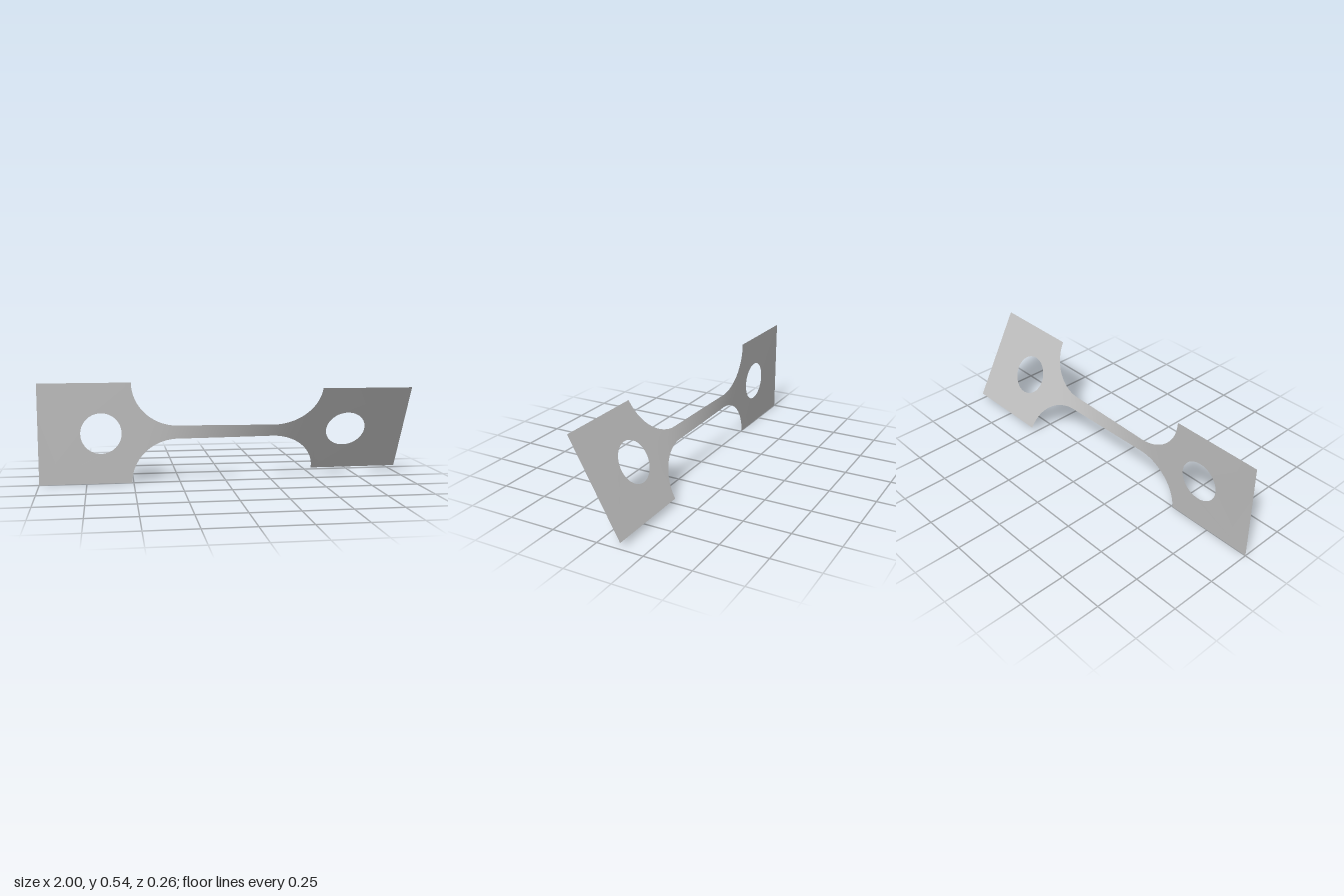
import * as THREE from 'three';

const MID = 0.271;        // height of the long axis
const HALF = 0.271;       // half height of the grips
const NECK = 0.036;       // half height of the gauge section
const GRIP_X = 0.508;     // inner edge of the grips
const FILLET_X = 0.26;    // where the fillets meet the gauge section
const TWIST = 0.5;        // total twist in radians

// Half height of the strip at x: straight neck, circular fillets, wide grips
function halfHeight(x) {
  const t = (Math.abs(x) - FILLET_X) / (GRIP_X - FILLET_X);
  if (t <= 0) return NECK;
  if (t >= 1) return HALF;
  return NECK + (HALF - NECK) * (1 - Math.sqrt(1 - t * t));
}

// Twist builds up fastest where the strip is narrowest
const STEPS = 800;
const twistSum = [0];
for (let i = 0; i < STEPS; i++) {
  const x = -1 + (2 * (i + 0.5)) / STEPS;
  twistSum.push(twistSum[i] + 1 / halfHeight(x) ** 2);
}
function twistAt(x) {
  const f = THREE.MathUtils.clamp((x + 1) / 2, 0, 1) * STEPS;
  const i = Math.min(Math.floor(f), STEPS - 1);
  return TWIST * THREE.MathUtils.lerp(twistSum[i], twistSum[i + 1], f - i) / twistSum[STEPS];
}

// Turn a flat sheet (y measured from the axis) about the long axis
function twistSheet(geometry) {
  const p = geometry.attributes.position;
  for (let i = 0; i < p.count; i++) {
    const a = twistAt(p.getX(i));
    const h = p.getY(i);
    p.setXYZ(i, p.getX(i), MID + h * Math.cos(a), h * Math.sin(a));
  }
  geometry.computeVertexNormals();
  return geometry;
}

// Grip plate with a round hole
function gripGeometry(side) {
  const x0 = side < 0 ? -1 : GRIP_X;
  const x1 = side < 0 ? -GRIP_X : 1;
  const shape = new THREE.Shape();
  shape.moveTo(x0, -HALF);
  shape.lineTo(x1, -HALF);
  shape.lineTo(x1, HALF);
  shape.lineTo(x0, HALF);
  shape.closePath();
  const hole = new THREE.Path();
  hole.absarc(side * 0.67, 0, 0.109, 0, Math.PI * 2, true);
  shape.holes.push(hole);
  return twistSheet(new THREE.ShapeGeometry(shape, 32));
}

// Neck and both fillets as one strip of cross-sections
function neckGeometry() {
  const xs = [];
  const N = 28;
  const span = GRIP_X - FILLET_X;
  for (let i = 0; i < N; i++) xs.push(-FILLET_X - span * Math.cos((i / N) * Math.PI / 2));
  for (let i = 0; i <= 40; i++) xs.push(-FILLET_X + (2 * FILLET_X * i) / 40);
  for (let i = 1; i <= N; i++) xs.push(FILLET_X + span * Math.sin((i / N) * Math.PI / 2));

  const COLS = 8;
  const positions = [];
  const index = [];
  xs.forEach((x, i) => {
    for (let j = 0; j <= COLS; j++) {
      positions.push(x, halfHeight(x) * ((2 * j) / COLS - 1), 0);
      if (i < xs.length - 1 && j < COLS) {
        const a = i * (COLS + 1) + j;
        const b = a + COLS + 1;
        index.push(a, b, b + 1, a, b + 1, a + 1);
      }
    }
  });
  const geometry = new THREE.BufferGeometry();
  geometry.setAttribute('position', new THREE.Float32BufferAttribute(positions, 3));
  geometry.setIndex(index);
  return twistSheet(geometry);
}

export function createModel() {
  const group = new THREE.Group();
  group.name = 'twistedTestStrip';
  const metal = new THREE.MeshStandardMaterial({ color: 0xbfbfbf, side: THREE.DoubleSide });
  metal.name = 'light grey metal';

  const add = (name, geometry) => {
    const mesh = new THREE.Mesh(geometry, metal);
    mesh.name = name;
    group.add(mesh);
  };
  add('rightGrip', gripGeometry(-1));
  add('neck', neckGeometry());
  add('leftGrip', gripGeometry(1));
  return group;
}
